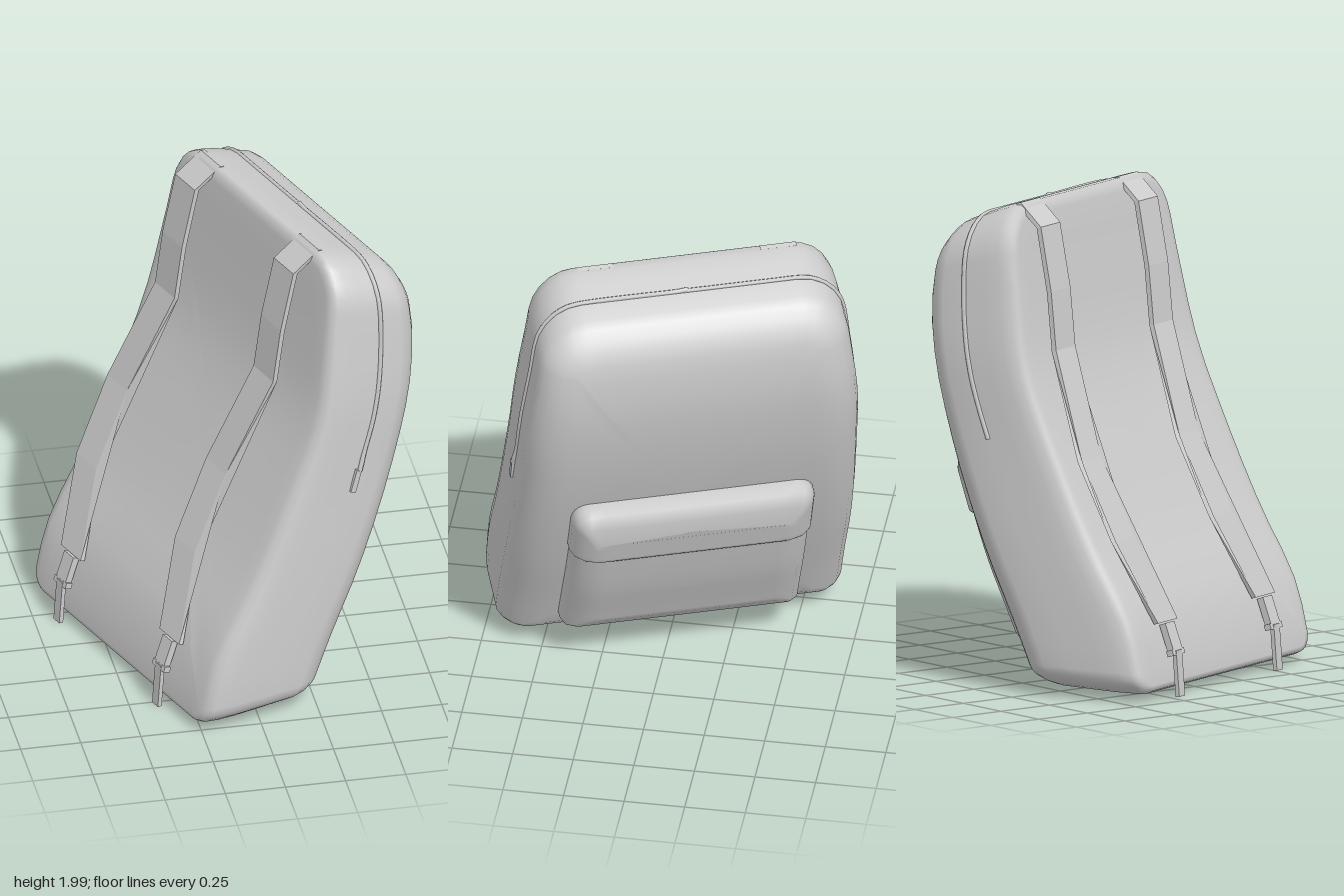
import * as THREE from 'three';

const mat = new THREE.MeshStandardMaterial({ color: 0xcccccc, side: THREE.DoubleSide });
const curve = pts => new THREE.CatmullRomCurve3(pts.map(([u, y]) => new THREE.Vector3(u, y, 0)));

// Side profile of the pack: strap-side curve and pocket-side curve (depth, height)
const backCurve = curve([[-.525, .025], [-.45, .32], [-.28, .62], [-.11, .97], [.035, 1.32], [.1, 1.65], [.155, 2.01]]);
const frontCurve = curve([[.025, .045], [.14, .3], [.27, .58], [.415, .95], [.51, 1.27], [.555, 1.57], [.525, 1.86]]);
const LEN = 2.05;

// Rounded rectangle in (width, length), evenly subdivided on its straight edges
function outline(w, v0, v1, rTop, rBottom) {
  const pts = [];
  for (let q = 0; q < 4; q++) {
    const side = q < 2 ? 1 : -1, top = q === 0 || q === 3;
    const r = top ? rTop : rBottom;
    for (let i = 0; i <= 5; i++) {
      const a = (q + i / 5) * Math.PI / 2;
      pts.push([side * (w - r) + r * Math.sin(a), (top ? v1 - r : v0 + r) + r * Math.cos(a)]);
    }
  }
  const out = [];
  pts.forEach((p, i) => {
    const n = pts[(i + 1) % pts.length];
    const steps = i % 6 === 5 ? 14 : 1;
    for (let k = 0; k < steps; k++) {
      const f = k / steps;
      out.push([p[0] + (n[0] - p[0]) * f, p[1] + (n[1] - p[1]) * f]);
    }
  });
  return out;
}

// Cushion skinned through inset outlines, closed by shrinking loops at both ends
function cushion(name, o, layers, place) {
  const ring = ([inset, depth], k) => {
    const mid = (o.v0 + o.v1) / 2;
    const rT = Math.max(o.rTop - inset, .02), rB = Math.max(o.rBottom - inset, .02);
    return outline(o.w - inset, o.v0 + inset * o.bottomInset, o.v1 - inset * o.topInset, rT, rB)
      .map(([w, v]) => place(w * k, mid + (v - mid) * k, depth));
  };
  const shrink = [0, .15, .3, .45, .6, .75, .9];
  const rings = [
    ...shrink.map(k => ring(layers[0], k)),
    ...layers.map(l => ring(l, 1)),
    ...shrink.slice().reverse().map(k => ring(layers.at(-1), k)),
  ];
  const n = rings[0].length, pos = [], idx = [];
  rings.flat().forEach(p => pos.push(p.x, p.y, p.z));
  for (let i = 0; i < rings.length - 1; i++) {
    for (let j = 0; j < n; j++) {
      const a = i * n + j, b = i * n + (j + 1) % n;
      idx.push(a, b, b + n, a, b + n, a + n);
    }
  }
  const g = new THREE.BufferGeometry();
  g.setAttribute('position', new THREE.Float32BufferAttribute(pos, 3));
  g.setIndex(idx);
  g.computeVertexNormals();
  return named(name, g);
}

function named(name, geometry) {
  const m = new THREE.Mesh(geometry, mat);
  m.name = name;
  return m;
}

// Body point: width, length along the profile, and 0 (back) to 1 (front);
// narrows towards the top and widens at the lower front
function onBody(w, v, t) {
  const s = THREE.MathUtils.clamp(v / LEN, 0, 1);
  const p = backCurve.getPoint(s).lerp(frontCurve.getPoint(s), t);
  const narrow = .09 * THREE.MathUtils.smoothstep(s, .65, 1);
  const widen = .05 * t * (1 - THREE.MathUtils.smoothstep(s, .3, .7));
  p.z = w * (1 - narrow + widen);
  return p;
}

// Point raised off the front face, a little less towards the top
function onFront(w, v, d) {
  const p = frontCurve.getPoint(v / LEN);
  const lift = d * (1 - .2 * THREE.MathUtils.smoothstep(v, .5, 1.05));
  return new THREE.Vector3(p.x + lift, p.y - lift * .1, w);
}

// Strap path: depth, height, sideways drift
const strapPath = [[.19, 1.99, .02], [.08, 1.9, .0], [.025, 1.64, -.01], [-.005, 1.4, -.02],
  [-.18, .97, -.105], [-.335, .65, -.095], [-.475, .31, .01]];

function drift(y) {
  for (let i = 0; i < strapPath.length - 1; i++) {
    const [, y0, z0] = strapPath[i], [, y1, z1] = strapPath[i + 1];
    if (y >= y1) return z0 + (z1 - z0) * (y0 - y) / (y0 - y1);
  }
  return strapPath.at(-1)[2];
}

function makeStrap(z) {
  const strap = new THREE.Group();
  strap.name = 'shoulderStrap';
  const outer = strapPath.map(([u, y]) => new THREE.Vector2(u - .01, y));
  const inner = strapPath.map(([u, y]) => new THREE.Vector2(u + .01, y - .006)).reverse();
  const g = new THREE.ExtrudeGeometry(new THREE.Shape([...outer, ...inner]), { depth: .15, bevelEnabled: false });
  const p = g.attributes.position;
  for (let i = 0; i < p.count; i++) p.setZ(i, p.getZ(i) - .075 + drift(p.getY(i)));
  g.computeVertexNormals();
  strap.add(named('strapWebbing', g));

  // Buckle, cross bar and hanging tail
  const box = (name, size, at, tilt) => {
    const m = named(name, new THREE.BoxGeometry(...size));
    m.position.set(...at);
    m.rotation.z = tilt;
    strap.add(m);
  };
  box('buckle', [.03, .12, .07], [-.5, .245, .01], -.35);
  box('buckleBar', [.03, .025, .09], [-.522, .185, .01], -.3);
  box('strapTail', [.018, .19, .045], [-.537, .1, .01], -.08);
  strap.position.z = z;
  return strap;
}

export function createModel() {
  const model = new THREE.Group();
  model.name = 'backpack';
  const pack = new THREE.Group();
  pack.name = 'pack';
  pack.rotation.y = THREE.MathUtils.degToRad(20.5);
  model.add(pack);

  // Main body
  const bodyOutline = { w: .693, v0: 0, v1: LEN, rTop: .2, rBottom: .12, topInset: 1, bottomInset: .7 };
  pack.add(cushion('body', bodyOutline,
    [[.07, 0], [.035, .015], [.015, .06], [.005, .16], [0, .3], [0, .52], [0, .74],
      [.015, .83], [.045, .91], [.09, .97], [.15, 1]], onBody));

  // Front pocket and its flap
  pack.add(cushion('frontPocket',
    { w: .495, v0: .165, v1: .87, rTop: .06, rBottom: .04, topInset: .3, bottomInset: 1.2 },
    [[0, -.05], [0, .03], [.012, .075], [.045, .115], [.1, .135]], onFront));
  pack.add(cushion('pocketFlap',
    { w: .503, v0: .79, v1: 1.04, rTop: .07, rBottom: .02, topInset: 1.6, bottomInset: .05 },
    [[0, -.05], [0, .045], [.012, .088], [.045, .128], [.095, .148]], onFront));

  // Zip running up one side, over the top and down the other
  const loop = outline(.693, 0, LEN, .2, .12);
  const right = loop.filter(([w, v]) => w < 0 && v > 1.05);
  const left = loop.filter(([w, v]) => w >= 0 && v > 1.05);
  const path = new THREE.CatmullRomCurve3([...right, ...left].map(([w, v]) => onBody(w, v, .52)));
  pack.add(named('zip', new THREE.TubeGeometry(path, 120, .01, 6)));

  const pull = named('zipPull', new THREE.BoxGeometry(.025, .1, .02));
  pull.position.copy(onBody(.695, 1.09, .52));
  pull.rotation.z = -.3;
  pack.add(pull);

  // Shoulder straps
  for (const z of [-.42, .34]) pack.add(makeStrap(z));
  return model;
}
